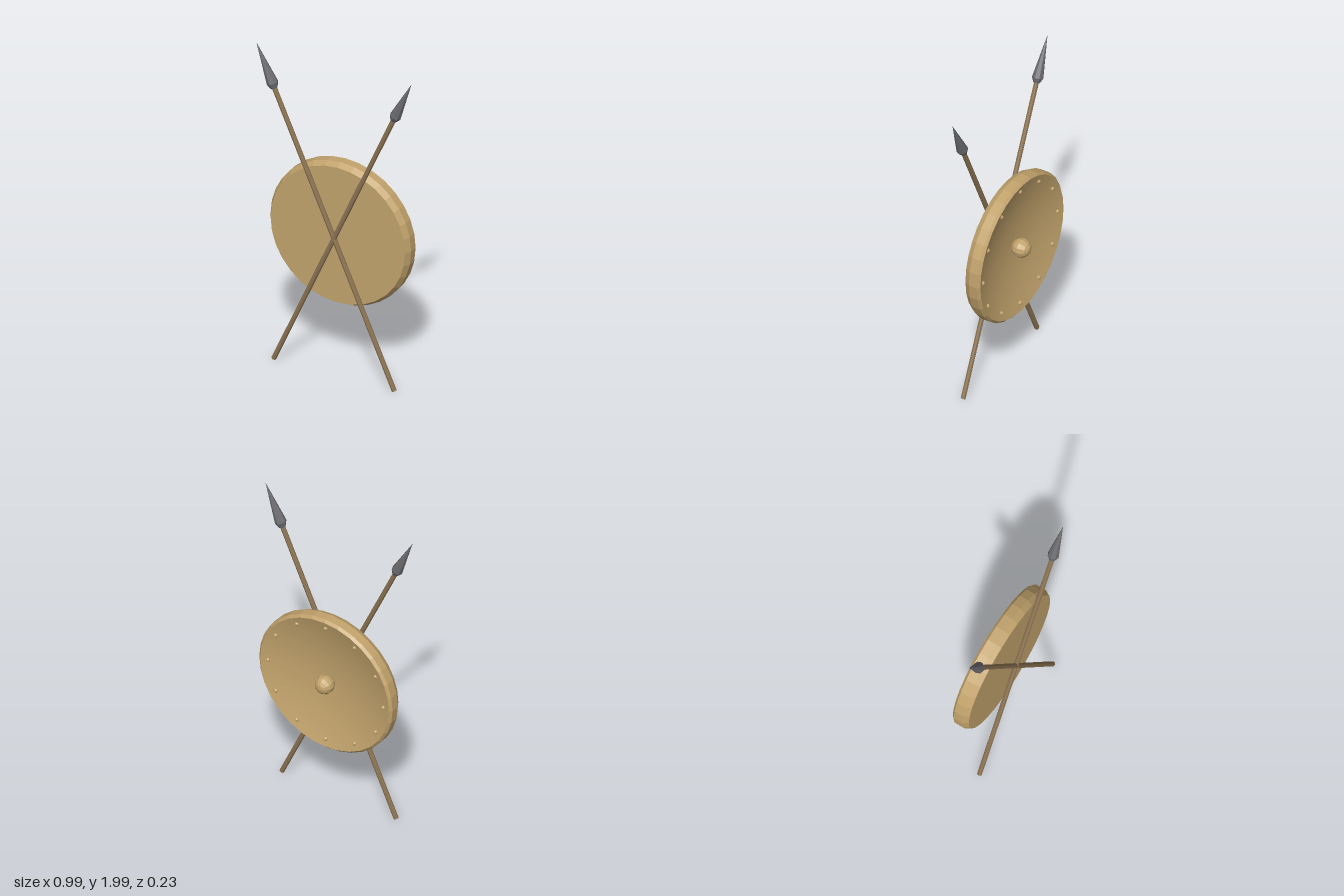
import * as THREE from 'three';

const V = (x, y) => new THREE.Vector2(x, y);

// faceted shading baked into the normals
function flat(geometry) {
  const g = geometry.toNonIndexed();
  g.computeVertexNormals();
  return g;
}

export function createModel() {
  const tan = new THREE.MeshStandardMaterial({ name: 'tan shield', color: 0xc2a36c });
  const wood = new THREE.MeshStandardMaterial({ name: 'brown wood', color: 0x8b7352 });
  const steel = new THREE.MeshStandardMaterial({ name: 'grey steel', color: 0x6a6a6e });

  const model = new THREE.Group();
  model.name = 'shieldAndSpears';
  const add = (parent, name, geometry, material) => {
    const mesh = new THREE.Mesh(geometry, material);
    mesh.name = name;
    parent.add(mesh);
    return mesh;
  };

  // Round shield: lathe axis turned so that +y points to the back (-z)
  const shield = new THREE.Group();
  shield.name = 'shield';
  shield.position.y = 0.88;
  shield.rotation.x = -Math.PI / 2;
  model.add(shield);

  const R = 0.435, rimY = 0.065, depth = 0.07;
  const bowlY = r => rimY - depth * (1 - (r / R) ** 2);

  add(shield, 'shieldBody', flat(new THREE.LatheGeometry(
    [V(0, -0.037), V(0.43, -0.037), V(0.45, -0.002), V(0.45, 0.05), V(R, rimY)], 32)), tan);

  // Hollow dish on the back
  const dish = [];
  for (let i = 8; i >= 0; i--) dish.push(V(R * i / 8, bowlY(R * i / 8)));
  add(shield, 'shieldDish', new THREE.LatheGeometry(dish, 32), tan);

  // Central boss and ring of rivets
  add(shield, 'boss', flat(new THREE.SphereGeometry(0.057, 12, 8)), tan).position.y = 0.061;
  const rivetGeometry = flat(new THREE.SphereGeometry(0.013, 8, 6));
  for (let i = 0; i < 12; i++) {
    const a = i * Math.PI / 6;
    add(shield, 'rivet', rivetGeometry, tan)
      .position.set(0.39 * Math.cos(a), bowlY(0.39), 0.39 * Math.sin(a));
  }

  // Crossed spears, each built upright around the crossing point
  const tip = 1.225, butt = -0.95, headBase = tip - 0.285;
  const shaft = flat(new THREE.CylinderGeometry(0.0145, 0.0145, headBase - butt + 0.01, 8));
  const head = flat(new THREE.LatheGeometry(
    [V(0, headBase), V(0.02, headBase), V(0.034, tip - 0.254), V(0, tip)], 8));
  for (const side of [1, -1]) {
    const spear = new THREE.Group();
    spear.name = side > 0 ? 'leftSpear' : 'rightSpear';
    spear.position.set(0, 0.88, 0.08);
    spear.rotation.z = -side * 0.418;
    add(spear, 'spearShaft', shaft, wood).position.y = (headBase + butt + 0.01) / 2;
    add(spear, 'spearHead', head, steel);
    model.add(spear);
  }
  return model;
}
